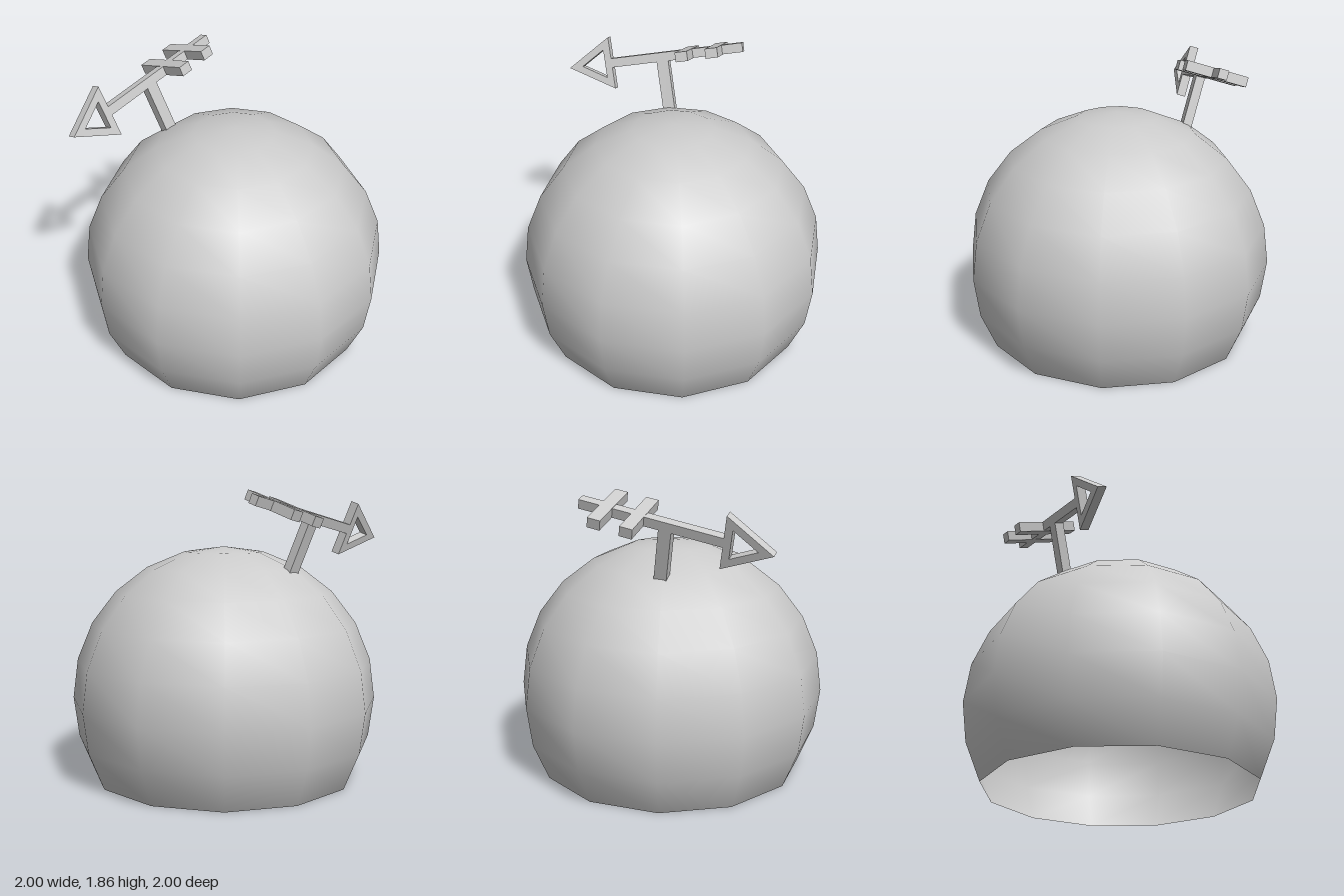
import * as THREE from 'three';

export function createModel() {
  const model = new THREE.Group();
  const grey = new THREE.MeshStandardMaterial({ color: 0xcccccc });
  const shellGrey = new THREE.MeshStandardMaterial({ color: 0xcccccc, side: THREE.DoubleSide });

  // Open-bottomed dome: a 12-sided sphere cut 30 degrees below its equator
  const dome = new THREE.Mesh(
    new THREE.SphereGeometry(1, 12, 8, 0, Math.PI * 2, 0, Math.PI * 2 / 3), shellGrey);
  dome.name = 'dome';
  dome.position.y = 0.5;
  model.add(dome);

  // Arrow frame: x runs from tip to tail, y along the post, z across the arrow
  const along = new THREE.Vector3(1.13, 0.24, -0.325).normalize();
  const across = along.clone().cross(new THREE.Vector3(-0.26, 0.94, -0.235)).normalize();
  const up = across.clone().cross(along);
  const arrow = new THREE.Group();
  arrow.name = 'arrow';
  arrow.quaternion.setFromRotationMatrix(new THREE.Matrix4().makeBasis(along, up, across));
  arrow.position.set(-0.945, 1.56, -0.335);
  model.add(arrow);

  const thick = 0.06;
  const addBar = (name, size, x, y = 0) => {
    const bar = new THREE.Mesh(new THREE.BoxGeometry(...size), grey);
    bar.name = name;
    bar.position.set(x, y, 0);
    arrow.add(bar);
  };

  addBar('shaft', [0.91, thick, thick], 0.745);
  addBar('frontFletching', [0.08, 0.063, 0.4], 0.825);
  addBar('rearFletching', [0.08, 0.063, 0.4], 1.024);
  addBar('post', [0.08, 0.38, thick], 0.653, -0.19);

  // Arrowhead: equilateral triangle with a triangular hole, tip at x = 0
  const triangle = (r) => [0, 1, 2].map((i) => {
    const a = Math.PI + i * Math.PI * 2 / 3;
    return new THREE.Vector2(0.2 + r * Math.cos(a), r * Math.sin(a));
  });
  const headShape = new THREE.Shape(triangle(0.2));
  headShape.holes.push(new THREE.Path(triangle(0.108)));
  const head = new THREE.Mesh(
    new THREE.ExtrudeGeometry(headShape, { depth: thick, bevelEnabled: false }), grey);
  head.name = 'arrowhead';
  head.position.z = -thick / 2;
  arrow.add(head);

  return model;
}
